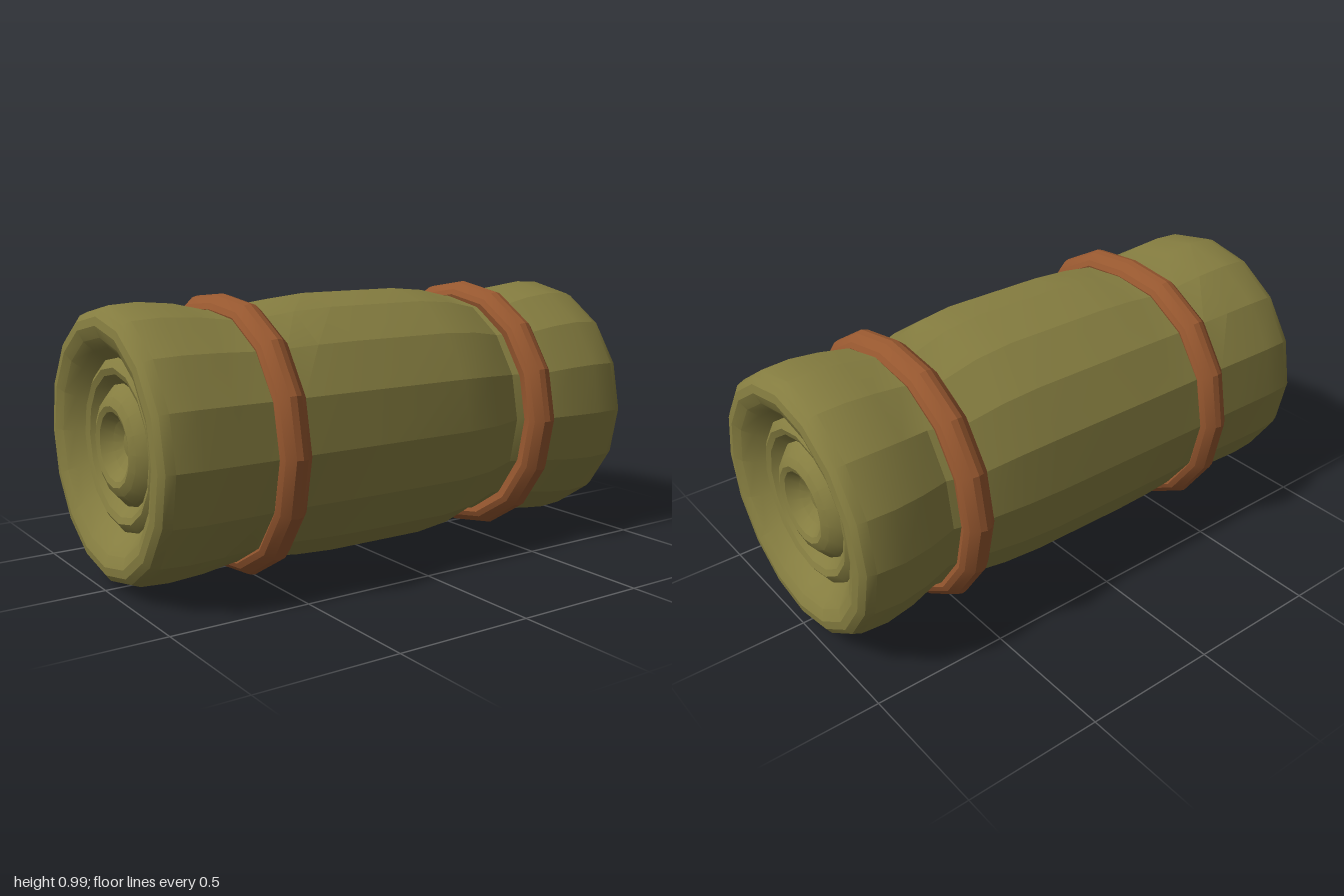
import * as THREE from 'three';
import { toCreasedNormals } from 'three/addons/utils/BufferGeometryUtils.js';

const SIDES = 16;
const CENTRE_Y = 0.493;
const V = (r, x) => new THREE.Vector2(r, x);

// Lathe laid along x; adjust(x, s, r) returns { r, dx, dz } for a vertex, s = sin of angle towards +z
function lyingLathe(points, adjust) {
  const geo = new THREE.LatheGeometry(points, SIDES);
  geo.rotateZ(-Math.PI / 2);
  const p = geo.attributes.position;
  for (let i = 0; i < p.count; i++) {
    const x = p.getX(i), y = p.getY(i), z = p.getZ(i);
    const r = Math.hypot(y, z);
    if (r < 1e-5) continue;
    const a = adjust(x, z / r, r);
    p.setXYZ(i, x + (a.dx || 0), (y / r) * a.r, (z / r) * a.r + (a.dz || 0));
  }
  // Long facets stay crisp around the roll and smooth along it
  return toCreasedNormals(geo, 0.37);
}

export function createModel() {
  const olive = new THREE.MeshStandardMaterial({ color: 0x857d40 });
  olive.name = 'olive cloth';
  const leather = new THREE.MeshStandardMaterial({ color: 0x96572f });
  leather.name = 'brown leather';

  const model = new THREE.Group();
  model.name = 'bedroll';

  // Spiral-like end: radius, distance from the middle
  const end = [
    [0, 0.9], [0.045, 0.895], [0.085, 0.915], [0.12, 0.95], [0.14, 0.957], [0.17, 0.945],
    [0.203, 0.915], [0.212, 0.905], [0.245, 0.935], [0.268, 0.943], [0.288, 0.93], [0.3, 0.92],
    [0.335, 0.955], [0.37, 0.985], [0.41, 1], [0.44, 0.996], [0.462, 0.98], [0.474, 0.95],
  ];
  // Rows along the cloth: x, squeeze, sideways shift
  const rows = [
    [-0.85, 0, 0], [-0.72, 0.012, 0], [-0.6, 0.04, 0], [-0.47, 0.04, 0], [-0.35, 0.014, 0], [-0.2, 0, 0],
    [0.2, 0, 0], [0.35, 0.014, -0.008], [0.49, 0.045, -0.027], [0.63, 0.035, 0.015], [0.74, 0.012, 0.005], [0.85, 0, 0],
  ];
  const profile = [
    ...end.map(([r, x]) => V(r, -x)),
    ...rows.map(([x]) => V(0.48, x)),
    ...end.slice().reverse().map(([r, x]) => V(r, x)),
  ];
  const body = new THREE.Mesh(lyingLathe(profile, (x, s, r) => {
    const row = rows.find((q) => Math.abs(q[0] - x) < 0.001);
    if (!row) return { r };
    // Left-hand strap squeezes only above and below
    const squeeze = x < 0 ? row[1] * (1 - Math.abs(s)) : row[1];
    return { r: r - squeeze, dz: row[2] };
  }), olive);
  body.name = 'rolledBlanket';
  body.position.y = CENTRE_Y;
  model.add(body);

  // Straps: rounded band section, closed on the inside
  const band = [
    [-0.085, -0.05], [-0.05, -0.06], [-0.03, -0.05], [-0.006, -0.022], [0, 0],
    [-0.006, 0.022], [-0.03, 0.05], [-0.05, 0.06], [-0.085, 0.05], [-0.085, -0.05],
  ].map(([dr, x]) => V(CENTRE_Y + dr, x));
  const straps = [
    { name: 'rightStrap', x: -0.528, widen: 0.037, tilt: -0.008 },
    { name: 'leftStrap', x: 0.558, widen: 0.012, tilt: 0.02 },
  ];
  for (const { name, x, widen, tilt } of straps) {
    const geo = lyingLathe(band, (_, s, r) => ({
      r: r + widen * Math.min(1, 1.3 * Math.abs(s)),
      dx: tilt * s * r,
    }));
    const strap = new THREE.Mesh(geo, leather);
    strap.name = name;
    strap.position.set(x, CENTRE_Y, 0);
    model.add(strap);
  }
  return model;
}
